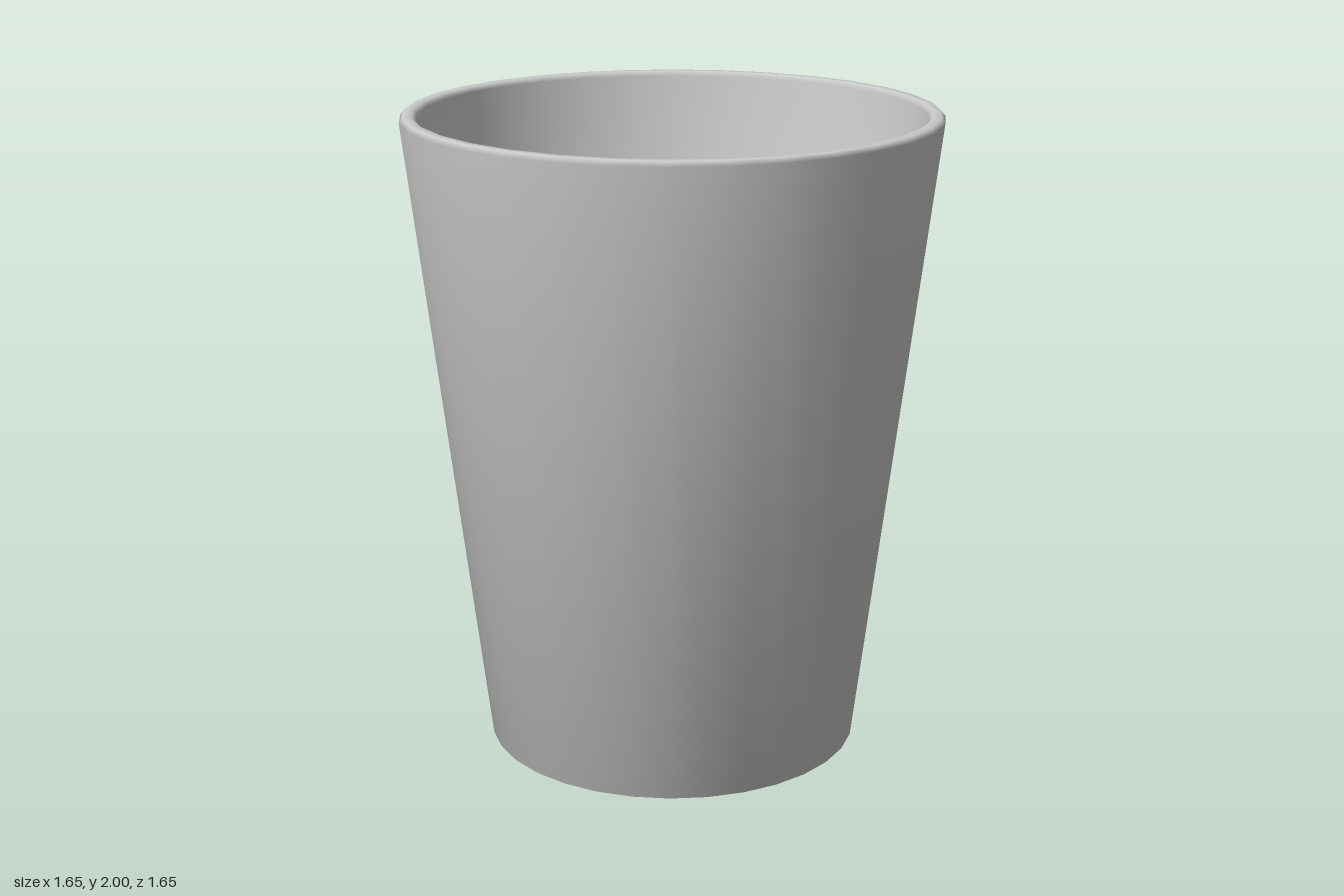
import * as THREE from 'three';

export function createModel() {
  const model = new THREE.Group();

  // Closed profile: underside, outer wall, bevelled lip, inner wall, floor
  const profile = [
    [0, 0], [0.585, 0],
    [0.823, 1.985], [0.812, 2], [0.784, 2], [0.773, 1.985],
    [0.541, 0.05], [0, 0.05],
  ].map(([r, y]) => new THREE.Vector2(r, y));

  const material = new THREE.MeshStandardMaterial({ color: 0xcccccc });
  const cup = new THREE.Mesh(new THREE.LatheGeometry(profile, 32), material);
  cup.name = 'cup';
  model.add(cup);

  return model;
}
